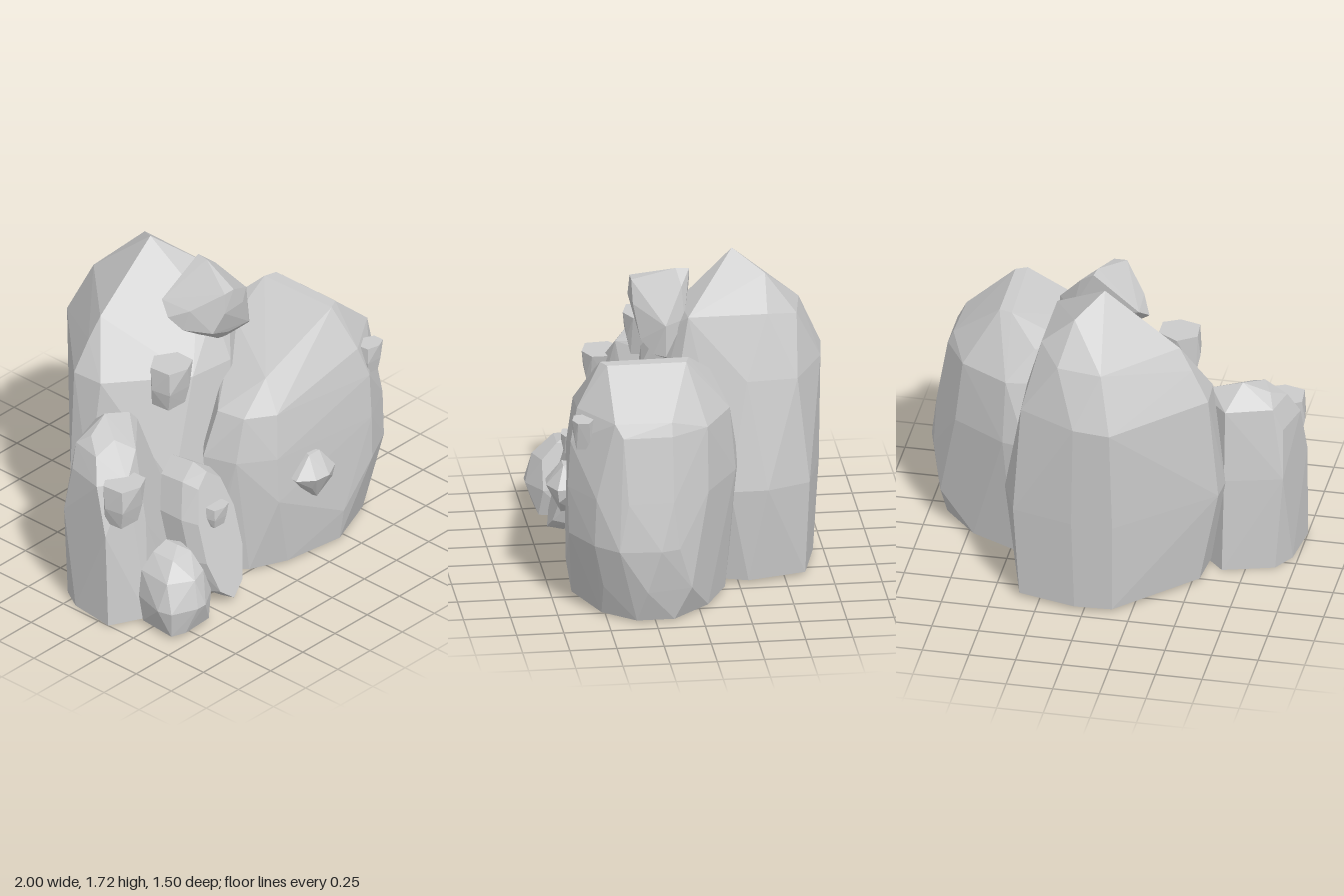
import * as THREE from 'three';
import { ConvexGeometry } from 'three/addons/geometries/ConvexGeometry.js';

const stone = new THREE.MeshStandardMaterial({ color: 0xcccccc, flatShading: true, side: THREE.DoubleSide });

// Chiselled rock from points: a convex skin, left open where it stands on the ground
function skin(name, points, open) {
  const geometry = new ConvexGeometry(points);
  if (open) {
    const floor = Math.min(...points.map((p) => p.y)) + 0.001;
    const all = geometry.attributes.position;
    const kept = [];
    for (let i = 0; i < all.count; i += 3)
      if (Math.max(all.getY(i), all.getY(i + 1), all.getY(i + 2)) > floor)
        for (let k = i; k < i + 3; k++) kept.push(all.getX(k), all.getY(k), all.getZ(k));
    geometry.setAttribute('position', new THREE.Float32BufferAttribute(kept, 3));
    geometry.deleteAttribute('normal');
    geometry.computeVertexNormals();
  }
  const mesh = new THREE.Mesh(geometry, stone);
  mesh.name = name;
  return mesh;
}

// Corner points of horizontal sections, each [y, x, z, x, z, ...]
function corners(sections) {
  const points = [];
  for (const [y, ...xz] of sections)
    for (let i = 0; i < xz.length; i += 2) points.push(new THREE.Vector3(xz[i], y, xz[i + 1]));
  return points;
}

const rock = (name, sections, open = true) => skin(name, corners(sections), open);

// Small flat-topped chip that narrows downwards
function chip(name, center, size) {
  const mesh = rock(name, [
    [-0.5, -0.4, -0.2, -0.36, 0.3, 0.2, 0.32, 0.24, -0.3],
    [-0.05, -0.5, -0.1, -0.42, 0.4, 0.25, 0.42, 0.3, -0.32],
    [0.5, -0.45, -0.2, -0.4, 0.36, 0.1, 0.5, 0.5, 0.3, 0.5, -0.2, 0, -0.5],
  ], false);
  mesh.position.set(...center);
  mesh.scale.set(...size);
  return mesh;
}

// Oval stone: tilted elliptical rings from the front face to the back
function ovalStone() {
  const points = [];
  for (const [rx, ry, depth] of [[0.145, 0.35, 0], [0.18, 0.37, 0.09], [0.17, 0.35, 0.25]])
    for (let i = 0; i < 10; i++) {
      const a = ((i + 0.5) / 10) * Math.PI * 2;
      const y = 0.4 + Math.sin(a) * ry;
      points.push(new THREE.Vector3(-0.395 + Math.cos(a) * rx, y, 0.565 - (y - 0.4) * 0.28 - depth));
    }
  return skin('ovalStone', points, false);
}

export function createModel() {
  const group = new THREE.Group();
  group.name = 'rockCluster';
  group.add(
    // Tall boulder at the back
    rock('backBoulder', [
      [0.03, -0.54, -0.28, -0.15, -0.68, 0.05, -0.69, 0.36, -0.61, 0.44, -0.3, 0.3, 0.12, 0, 0.24, -0.36, 0.2, -0.56, -0.05],
      [0.55, -0.64, -0.28, -0.16, -0.72, 0.06, -0.72, 0.39, -0.63, 0.48, -0.4, 0.48, -0.2, 0.28, 0.22, -0.03, 0.3, -0.38, 0.22, -0.65, -0.14],
      [1.13, -0.59, -0.3, -0.15, -0.755, 0.05, -0.73, 0.36, -0.57, 0.38, -0.3, 0.32, 0.06, 0.06, 0.22, -0.2, 0.19, -0.58, -0.12],
      [1.3, -0.5, -0.28, -0.03, 0.13, 0.06, 0.14],
      [1.42, -0.43, -0.26, -0.08, -0.63, 0.16, -0.59],
      [1.47, 0.28, -0.42, 0.28, 0, 0.02, 0.02],
      [1.63, 0.1, -0.43],
      [1.73, -0.03, -0.27],
    ]),
    // Broad boulder with a sloping top at the right
    rock('rightBoulder', [
      [0.02, -0.22, 0.35, -0.1, 0.5, 0.1, 0.59, 0.45, 0.64, 0.76, 0.52, 0.9, 0.35, 0.9, 0.15, 0.72, -0.05, 0.48, -0.17, 0.32, -0.15],
      [0.2, -0.23, 0.34, 0.45, 0.67, 0.84, 0.52, 0.97, 0.3, 0.92, 0.06],
      [0.44, 0, 0.62, 0.66, 0.68, 0.87, 0.57, 0.98, 0.45, 1, 0.23, 0.97, 0.13],
      [0.7, -0.24, 0.3, -0.18, 0.48, 0, 0.61, 0.65, 0.685, 0.87, 0.56, 0.96, 0.4, 0.96, 0.16, 0.82, -0.04, 0.53, -0.22, 0.4, -0.25, 0.31, -0.2],
      [0.95, -0.15, 0.32, -0.12, 0.48, 0.03, 0.58, 0.65, 0.67],
      [1.05, 0.9, 0.42, 0.9, 0.16, 0.78, -0.04, 0.52, -0.19, 0.36, -0.17],
      [1.12, 0.86, 0.46, 0.87, 0.16, 0.06, 0.47, 0.6, 0.63],
      [1.22, 0.38, -0.1, 0.28, 0.05],
      [1.35, 0.54, 0.5, 0.6, 0.47, 0.6, 0.05, 0.53, 0.03],
    ]),
    // Medium boulder at the left, with a ridge down its front
    rock('leftBoulder', [
      [0.01, -1, 0.32, -0.97, 0.06, -0.9, -0.06, -0.63, -0.14, -0.42, 0.08, -0.33, 0.28, -0.54, 0.36, -0.8, 0.42],
      [0.55, -1, 0.3, -0.94, -0.05, -0.64, -0.13, -0.45, 0.08, -0.42, 0.2, -0.75, 0.36],
      [0.82, -0.98, 0.22, -0.93, 0, -0.84, 0.31],
      [0.95, -0.92, 0.16, -0.88, -0.02, -0.64, -0.1, -0.49, 0.06, -0.72, 0.26],
      [1.01, -0.85, 0.06, -0.8, 0.18, -0.54, 0.05],
      [1.07, -0.71, 0.03],
    ]),
    ovalStone(),
    // Low stone at the left front
    rock('lowStone', [
      [0.03, -0.88, 0.66, -0.8, 0.69, -0.61, 0.68, -0.56, 0.52, -0.66, 0.42, -0.86, 0.44],
      [0.18, -0.92, 0.6, -0.9, 0.68, -0.76, 0.74, -0.7, 0.74, -0.57, 0.66, -0.56, 0.52, -0.7, 0.4, -0.87, 0.42],
      [0.33, -0.87, 0.62, -0.74, 0.7, -0.63, 0.66, -0.59, 0.5, -0.72, 0.4, -0.85, 0.42],
      [0.42, -0.78, 0.58, -0.64, 0.58, -0.61, 0.48, -0.78, 0.44],
      [0.45, -0.68, 0.52, -0.68, 0.44],
    ]),
    // Slanted block set near the summit
    rock('summitBlock', [
      [1.21, 0.07, 0.13, 0.22, 0.08],
      [1.26, 0.3, 0.12, 0.25, 0.18],
      [1.32, 0.03, 0.23, 0.18, 0.24],
      [1.37, -0.18, 0.1, -0.1, 0.24],
      [1.43, -0.21, 0.02, 0.29, 0.12, 0.2, 0.01],
      [1.49, -0.16, 0.13, -0.17, -0.06, -0.05, 0.28, 0.1, 0.27],
      [1.6, -0.04, 0.27, 0.03, 0.27, 0.16, 0.02],
      [1.67, 0.07, 0.04, 0.08, -0.03],
    ], false),
    // Small chips sticking out of the boulders
    chip('ledgeChip', [-0.35, 1.155, 0.16], [0.22, 0.23, 0.22]),
    chip('leftChip', [-0.88, 0.73, 0.31], [0.22, 0.23, 0.22]),
    chip('rightUpperChip', [0.71, 1.02, 0.61], [0.14, 0.16, 0.12]),
    chip('ovalChip', [-0.4, 0.52, 0.54], [0.13, 0.11, 0.1]),
    // Pointed chip on the front of the right boulder
    rock('pointedChip', [
      [0.39, 0.24, 0.67, 0.22, 0.6],
      [0.48, 0.34, 0.69, 0.17, 0.7],
      [0.55, 0.08, 0.67, 0.16, 0.74, 0.25, 0.75, 0.35, 0.7, 0.34, 0.6, 0.1, 0.58],
      [0.66, 0.19, 0.66, 0.27, 0.66, 0.22, 0.58],
    ], false),
  );
  return group;
}
